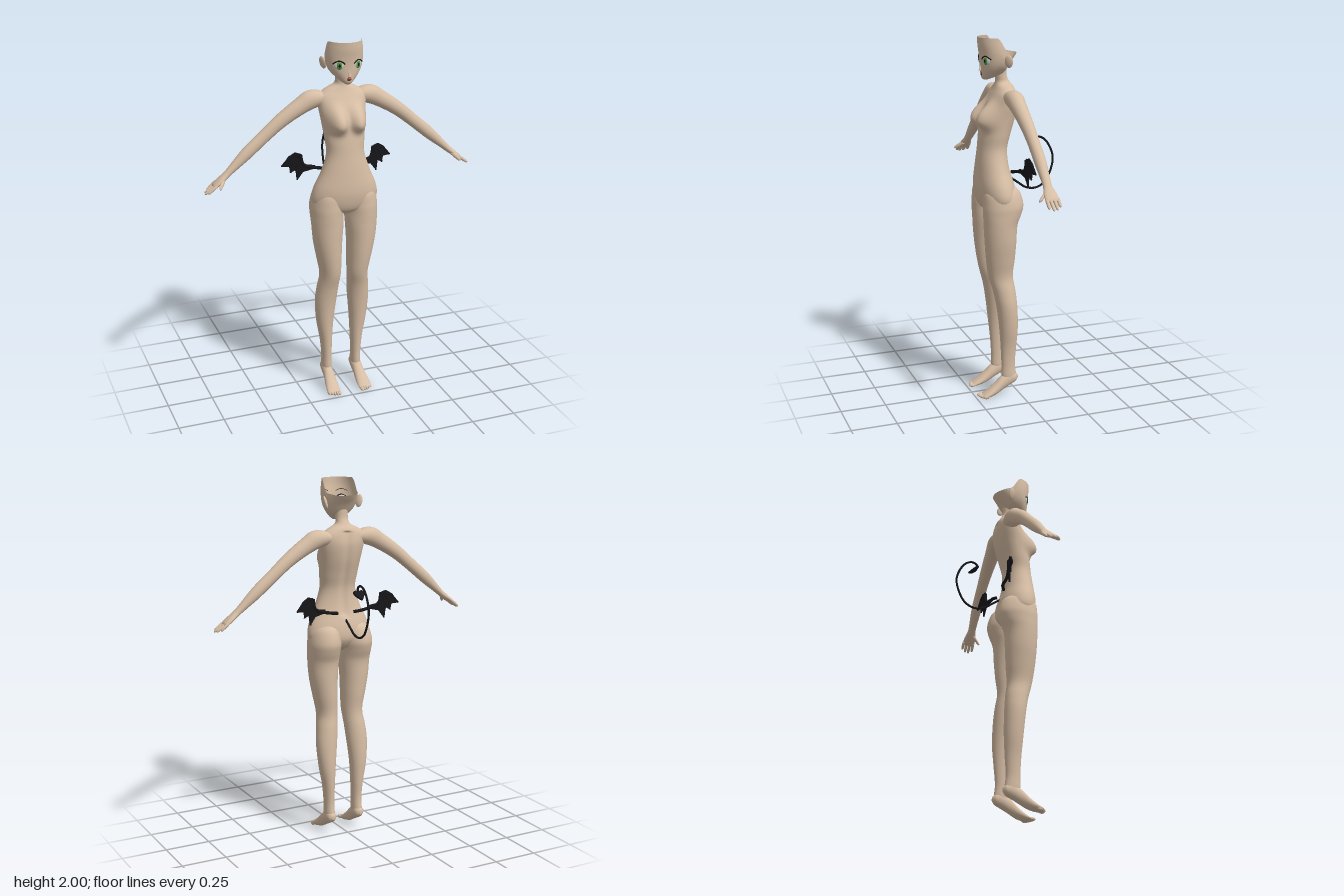
import * as THREE from 'three';

const V = (x, y, z) => new THREE.Vector3(x, y, z);
const mat = (color, side = THREE.FrontSide) => new THREE.MeshStandardMaterial({ color, side, roughness: 0.8 });
const skin = mat(0xd6bda4), skinOpen = mat(0xd6bda4, THREE.DoubleSide);
const black = mat(0x17171a), white = mat(0xf0f0f0), green = mat(0x4f9a3f), red = mat(0x8a2f2f), brown = mat(0x3a2a24);

// Smooth skin through elliptical sections [x, y, z, radiusU, radiusV]
function loft(sections, u, v, { steps = 40, seg = 32, warp = null, open = false } = {}) {
  const path = new THREE.CatmullRomCurve3(sections.map(s => V(s[0], s[1], s[2])));
  const radii = new THREE.CatmullRomCurve3(sections.map((s, i) => V(s[3], s[4], i)));
  const pos = [], idx = [];
  for (let i = 0; i <= steps; i++) {
    const c = path.getPoint(i / steps), r = radii.getPoint(i / steps);
    for (let j = 0; j < seg; j++) {
      const a = j / seg * Math.PI * 2;
      const p = c.clone().addScaledVector(u, r.x * Math.cos(a)).addScaledVector(v, r.y * Math.sin(a));
      if (warp) warp(p);
      pos.push(p.x, p.y, p.z);
    }
  }
  const along = path.getPoint(1).sub(path.getPoint(0));
  const flip = u.clone().cross(v).dot(along) < 0;
  const tri = (a, b, c) => flip ? idx.push(a, c, b) : idx.push(a, b, c);
  for (let i = 0; i < steps; i++) for (let j = 0; j < seg; j++) {
    const a = i * seg + j, b = i * seg + (j + 1) % seg;
    tri(a, b, a + seg); tri(b, b + seg, a + seg);
  }
  // Closing caps
  if (!open) for (let j = 1; j < seg - 1; j++) {
    const e = steps * seg;
    tri(0, j + 1, j); tri(e, e + j, e + j + 1);
  }
  const g = new THREE.BufferGeometry();
  g.setAttribute('position', new THREE.Float32BufferAttribute(pos, 3));
  g.setIndex(idx);
  g.computeVertexNormals();
  return g;
}

// Section from height, centre x, half width, front z and back z
const ring = (y, cx, w, zf, zb) => [cx, y, (zf + zb) / 2, w, (zf - zb) / 2];
const X = V(1, 0, 0), Y = V(0, 1, 0), Z = V(0, 0, 1);
const faceZ = x => 0.1 + 0.083 * Math.sqrt(1 - (x / 0.097) ** 2);

export function createModel() {
  const model = new THREE.Group();
  const add = (name, geo, material, parent = model) => {
    const m = new THREE.Mesh(geo, material);
    m.name = name;
    parent.add(m);
    return m;
  };
  const blob = (name, material, p, s, rotY = 0, parent = model) => {
    const m = add(name, new THREE.SphereGeometry(1, 20, 14), material, parent);
    m.position.set(...p); m.scale.set(...s); m.rotation.y = rotY;
    return m;
  };
  const tube = (name, pts, r, material, parent = model, n = 24) =>
    add(name, new THREE.TubeGeometry(new THREE.CatmullRomCurve3(pts), n, r, 8), material, parent);

  // Neck and torso
  const torso = [
    ring(1.84, 0, 0.036, 0.1, 0.04), ring(1.79, 0, 0.035, 0.1, 0.037), ring(1.76, 0, 0.042, 0.1, 0.022),
    ring(1.735, 0, 0.09, 0.108, 0.004), ring(1.7, 0, 0.135, 0.125, -0.006), ring(1.65, 0, 0.132, 0.15, -0.012),
    ring(1.57, 0, 0.12, 0.177, 0), ring(1.48, 0, 0.11, 0.192, 0.025), ring(1.4, 0, 0.104, 0.2, 0.042),
    ring(1.3, 0, 0.135, 0.21, 0.035), ring(1.2, 0, 0.178, 0.215, 0.008), ring(1.13, 0, 0.182, 0.205, 0.005),
    ring(1.085, 0, 0.13, 0.185, 0.03), ring(1.055, 0, 0.03, 0.14, 0.07)];
  add('torso', loft(torso, X, Z, {
    steps: 90, seg: 56, warp: p => {
      const ax = Math.abs(p.x);
      // Chest on the front, spine groove on the back
      if (p.z > 0.09) {
        const d = ((ax - 0.06) / 0.047) ** 2 + ((p.y - 1.572) / (p.y < 1.572 ? 0.05 : 0.075)) ** 2;
        p.z += 0.056 * Math.exp(-(d ** 1.4));
      } else if (p.y < 1.72 && p.y > 1.25) p.z += 0.012 * Math.exp(-((ax / 0.02) ** 2));
    }
  }), skin);

  // Open head with a rim that drops behind the forehead
  const headRings = [
    ring(1.775, 0, 0.008, 0.165, 0.145), ring(1.79, 0, 0.033, 0.178, 0.1), ring(1.82, 0, 0.063, 0.181, 0.065),
    ring(1.85, 0, 0.083, 0.182, 0.048), ring(1.88, 0, 0.094, 0.183, 0.036), ring(1.92, 0, 0.1, 0.187, 0.02),
    ring(1.96, 0, 0.099, 0.193, 0.002), ring(2, 0, 0.095, 0.195, -0.016)];
  add('head', loft(headRings, X, Z, {
    steps: 40, seg: 56, open: true, warp: p => {
      const top = 1.915 + 0.015 * THREE.MathUtils.clamp(p.z / 0.08, 0, 1) + 0.07 * THREE.MathUtils.smoothstep(p.z, 0.06, 0.12);
      p.y = 1.775 + (p.y - 1.775) * (top - 1.775) / 0.225;
    }
  }), skinOpen);
  const nose = add('nose', new THREE.ConeGeometry(0.009, 0.03, 12), skin);
  nose.position.set(0, 1.84, 0.183);
  blob('mouth', red, [0, 1.806, 0.176], [0.014, 0.009, 0.006]);
  tube('upperLip', [V(-0.017, 1.81, 0.174), V(0, 1.816, 0.181), V(0.017, 1.81, 0.174)], 0.002, brown);

  for (const s of [1, -1]) {
    const side = s > 0 ? 'left' : 'right';
    const named = n => side + n;

    // Eye, lashes, brow and ear
    const ez = faceZ(0.052), turn = s * 0.5;
    blob(named('EyeWhite'), white, [s * 0.052, 1.88, ez - 0.005], [0.026, 0.023, 0.008], turn);
    blob(named('Iris'), green, [s * 0.051, 1.88, ez - 0.001], [0.016, 0.021, 0.007], turn);
    blob(named('Pupil'), black, [s * 0.051, 1.88, ez + 0.003], [0.007, 0.011, 0.005], turn);
    const arc = (y0, h, x0, x1) => [0, 0.25, 0.5, 0.75, 1].map(t => {
      const x = x0 + (x1 - x0) * t;
      return V(s * x, y0 + h * Math.sin(t * Math.PI), faceZ(x) + 0.002);
    });
    tube(named('Lashes'), arc(1.888, 0.017, 0.024, 0.08), 0.0035, black);
    tube(named('Brow'), arc(1.926, 0.01, 0.025, 0.08), 0.0015, brown);
    const ear = blob(named('Ear'), skin, [s * 0.102, 1.878, 0.06], [0.01, 0.035, 0.022], s * -0.5);
    ear.rotation.z = s * -0.25;

    // Leg
    const leg = [
      ring(1.22, 0.085, 0.05, 0.16, 0.04), ring(1.18, 0.09, 0.08, 0.196, 0.0), ring(1.11, 0.096, 0.091, 0.203, -0.02),
      ring(1.06, 0.098, 0.089, 0.203, -0.009), ring(1, 0.097, 0.087, 0.2, 0.014), ring(0.9, 0.096, 0.079, 0.195, 0.02),
      ring(0.8, 0.088, 0.068, 0.186, 0.025), ring(0.7, 0.08, 0.058, 0.17, 0.033), ring(0.62, 0.088, 0.06, 0.147, 0.022),
      ring(0.53, 0.096, 0.06, 0.13, 0.014), ring(0.4, 0.098, 0.048, 0.115, 0.01), ring(0.28, 0.091, 0.034, 0.105, 0.016),
      ring(0.18, 0.088, 0.028, 0.1, 0.022), ring(0.11, 0.088, 0.028, 0.1, 0.014), ring(0.09, 0.088, 0.022, 0.09, 0.02)];
    add(named('Leg'), loft(leg.map(r => [s * r[0], ...r.slice(1)]), X, Z, { steps: 70 }), skin);

    // Foot with raised heel, then toes
    const foot = [[0.088, 0.1, 0.006, 0.008, 0.012], [0.088, 0.1, 0.02, 0.024, 0.028], [0.088, 0.098, 0.05, 0.03, 0.042],
      [0.089, 0.072, 0.1, 0.03, 0.042], [0.091, 0.043, 0.14, 0.034, 0.033], [0.093, 0.022, 0.18, 0.037, 0.021],
      [0.094, 0.011, 0.212, 0.035, 0.01], [0.094, 0.01, 0.219, 0.02, 0.004]];
    add(named('Foot'), loft(foot.map(r => [s * r[0], ...r.slice(1)]), X, Y, { seg: 24 }), skin);
    for (let i = 0; i < 5; i++)
      blob(named('Toe'), skin, [s * (0.069 + i * 0.0135), 0.01, 0.222 - i * i * 0.0015], [i ? 0.007 : 0.011, 0.01, 0.018]);

    // Arm and palm
    const U = V(s * 0.62, 0.785, 0);
    const arm = [[0.07, 1.695, 0.05, 0.03, 0.035], [0.11, 1.694, 0.05, 0.05, 0.045], [0.16, 1.685, 0.05, 0.054, 0.048],
      [0.22, 1.655, 0.05, 0.046, 0.043], [0.33, 1.585, 0.048, 0.038, 0.036], [0.42, 1.512, 0.046, 0.034, 0.031],
      [0.52, 1.428, 0.047, 0.032, 0.03], [0.6, 1.357, 0.05, 0.022, 0.024], [0.635, 1.326, 0.052, 0.018, 0.024],
      [0.67, 1.298, 0.053, 0.016, 0.034], [0.7, 1.275, 0.052, 0.012, 0.036], [0.708, 1.269, 0.052, 0.006, 0.03]];
    add(named('Arm'), loft(arm.map(r => [s * r[0], ...r.slice(1)]), U, Z, { steps: 60 }), skin);

    // Fingers and thumb
    const digit = (name, a, b, r) => {
      const at = (t, k) => [s * (a[0] + (b[0] - a[0]) * t), a[1] + (b[1] - a[1]) * t, a[2] + (b[2] - a[2]) * t, r * k, r * k];
      add(named(name), loft([at(0, 1), at(0.5, 1), at(0.9, 0.75), at(1, 0.1)], U, Z, { steps: 12, seg: 10 }), skin);
    };
    [0.022, 0.042, 0.062, 0.081].forEach((z, i) =>
      digit('Finger', [0.695, 1.279, z], [[0.735, 0.752, 0.757, 0.745][i], [1.246, 1.237, 1.235, 1.242][i], z * 1.05], 0.0085));
    digit('Thumb', [0.65, 1.308, 0.066], [0.688, 1.268, 0.115], 0.011);

    // Wing with arm and ribs
    const wing = new THREE.Group();
    wing.name = named('Wing');
    model.add(wing);
    const outline = [[0.13, 1.305], [0.196, 1.316], [0.207, 1.374], [0.239, 1.385], [0.276, 1.363], [0.313, 1.31], [0.272, 1.307],
      [0.265, 1.273], [0.239, 1.286], [0.228, 1.231], [0.196, 1.273], [0.143, 1.285]];
    const wingZ = x => 0.012 - 0.13 * (Math.abs(x) - 0.13);
    const g = new THREE.ExtrudeGeometry(new THREE.Shape(outline.map(p => new THREE.Vector2(s * p[0], p[1]))), { depth: 0.006, bevelEnabled: false });
    const pa = g.attributes.position;
    for (let i = 0; i < pa.count; i++) pa.setZ(i, pa.getZ(i) - 0.003 + wingZ(pa.getX(i)));
    g.computeVertexNormals();
    add('membrane', g, black, wing);
    const wp = (x, y) => V(s * x, y, wingZ(x));
    tube('wingArm', [V(s * 0.05, 1.275, 0.026), V(s * 0.09, 1.283, 0.008), wp(0.15, 1.295), wp(0.196, 1.316), wp(0.21, 1.374)], 0.009, black, wing);
    for (const [x, y] of [[0.313, 1.31], [0.265, 1.273], [0.228, 1.231]])
      tube('rib', [wp(0.21, 1.374), wp((0.21 + x) / 2 + 0.012, (1.374 + y) / 2 + 0.01), wp(x, y)], 0.005, black, wing, 12);
  }

  // Curling tail with a spade tip
  const tail = [[1.235, 0.02], [1.2, -0.03], [1.17, -0.075], [1.162, -0.13], [1.185, -0.18], [1.24, -0.215], [1.325, -0.234],
    [1.4, -0.208], [1.437, -0.175], [1.447, -0.14], [1.432, -0.115], [1.405, -0.115]];
  tube('tail', tail.map(([y, z]) => V(0, y, z)), 0.006, black, model, 80);
  const spade = new THREE.Shape();
  spade.moveTo(0, 0.006);
  spade.quadraticCurveTo(0.015, -0.012, 0.03, 0.002);
  spade.quadraticCurveTo(0.03, 0.03, 0, 0.058);
  spade.quadraticCurveTo(-0.03, 0.03, -0.03, 0.002);
  spade.quadraticCurveTo(-0.015, -0.012, 0, 0.006);
  const tip = add('tailTip', new THREE.ExtrudeGeometry(spade, { depth: 0.006, bevelSize: 0.002, bevelThickness: 0.003, bevelSegments: 2 }), black);
  tip.position.set(0, 1.41, -0.115);
  tip.rotation.x = -2.24;
  return model;
}
